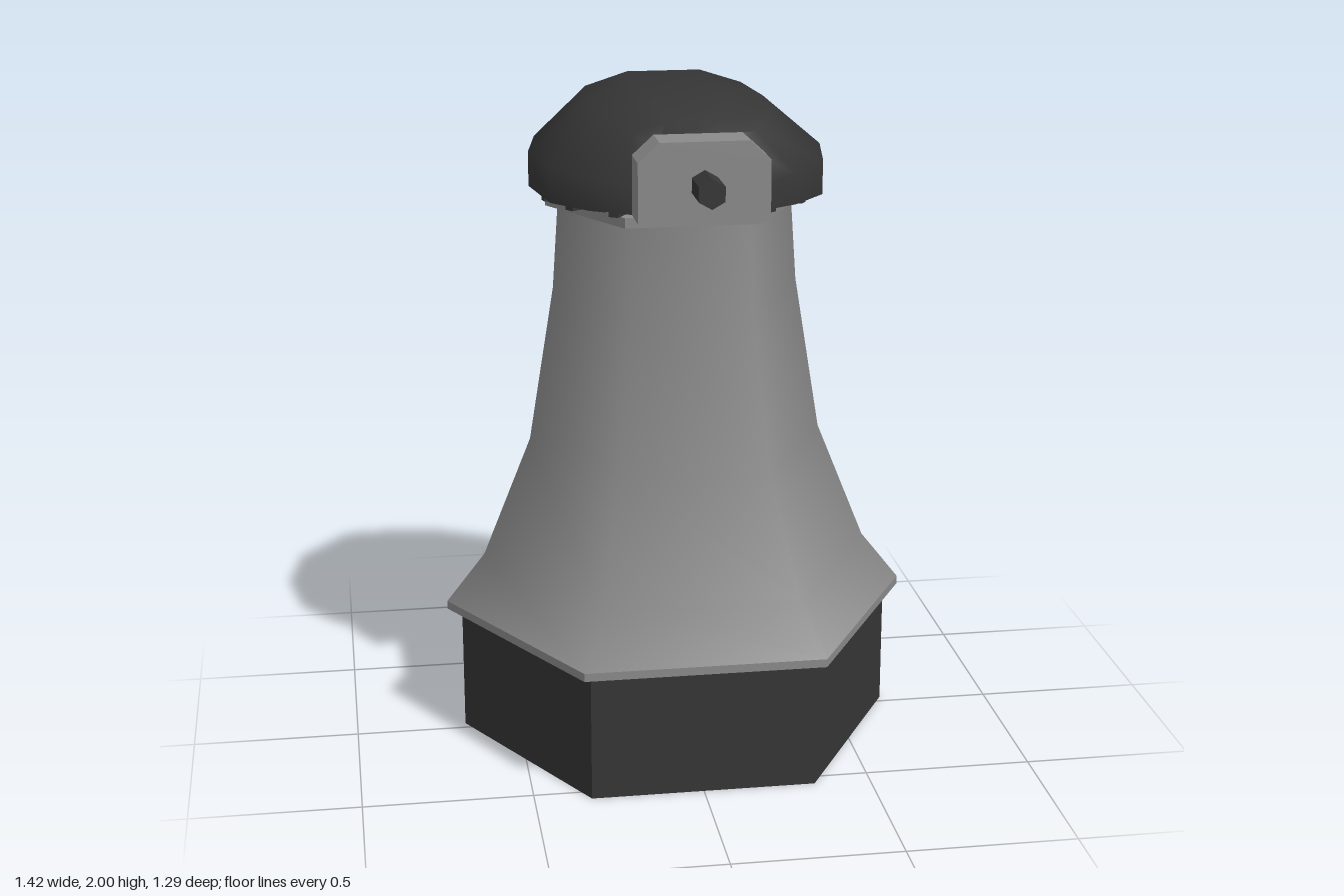
import * as THREE from 'three';
import { toCreasedNormals } from 'three/addons/utils/BufferGeometryUtils.js';

const CZ = -0.03; // tower axis

export function createModel() {
  const group = new THREE.Group();
  const mat = (name, color, extra) => Object.assign(new THREE.MeshStandardMaterial({ color, ...extra }), { name });
  const dark = mat('charcoal', 0x353535);
  const grey = mat('grey', 0x8a8a8a);

  const add = (name, geo, material, x = 0, y = 0, z = 0) => {
    const m = new THREE.Mesh(geo, material);
    m.name = name;
    m.position.set(x, y, z);
    group.add(m);
    return m;
  };
  // Faceted hexagonal prism with corners on the x axis
  const hex = (r, y0, y1) => {
    const g = new THREE.CylinderGeometry(r, r, y1 - y0, 6, 1, false, Math.PI / 2).toNonIndexed();
    g.computeVertexNormals();
    return g.translate(0, (y0 + y1) / 2, CZ);
  };

  // Base with a door panel on the rear right face
  add('base', hex(0.665, 0, 0.39), dark);
  const doorPanel = add('baseDoor', new THREE.BoxGeometry(0.173, 0.35, 0.008), dark, 0.457, 0.215, -0.42);
  doorPanel.position.x = 0.665 - (0.42 + CZ) / Math.sqrt(3) + 0.002;
  doorPanel.rotation.y = Math.PI * 2 / 3;

  // Flared six-sided tower, smoothly shaded
  const profile = [[0.71, 0.415], [0.592, 0.565], [0.445, 0.93], [0.368, 1.4], [0.35, 1.66]]
    .map(([r, y]) => new THREE.Vector2(r, y));
  add('tower', new THREE.LatheGeometry(profile, 6, Math.PI / 2), grey, 0, 0, CZ);
  add('towerSkirt', hex(0.71, 0.39, 0.415), grey);
  add('towerRim', hex(0.387, 1.65, 1.68), grey);

  // Turning ring under the cap
  add('curb', hex(0.34, 1.675, 1.715), dark);
  for (let i = 0; i < 16; i++) {
    const a = (i + 0.5) / 16 * Math.PI * 2;
    const s = add('curbSpoke', new THREE.BoxGeometry(0.12, 0.025, 0.03), dark,
      Math.cos(a) * 0.35, 1.698, -0.01 + Math.sin(a) * 0.33);
    s.rotation.y = -a;
  }

  // Cap: cross-sections along z as [z, half width, top height]
  const sections = [[-0.39, 0.31, 1.97], [-0.27, 0.395, 2], [-0.03, 0.435, 2],
    [0.21, 0.395, 2], [0.33, 0.295, 1.957], [0.4, 0.18, 1.93]];
  const outline = [[1, 0], [1, 0.35], [0.6, 0.86], [0.28, 1], [-0.28, 1], [-0.6, 0.86], [-1, 0.35], [-1, 0]];
  const n = outline.length, pos = [], idx = [];
  sections.forEach(([z, w, top], i) => {
    outline.forEach(([u, v], j) => {
      pos.push(u * w, 1.71 + v * (top - 1.71), z);
      if (i === sections.length - 1) return;
      const a = i * n + j, b = i * n + (j + 1) % n;
      idx.push(a, b, b + n, a, b + n, a + n);
    });
  });
  const last = (sections.length - 1) * n;
  for (let j = 1; j < n - 1; j++) idx.push(0, j + 1, j, last, last + j, last + j + 1);
  const cap = new THREE.BufferGeometry();
  cap.setAttribute('position', new THREE.Float32BufferAttribute(pos, 3));
  cap.setIndex(idx);
  cap.computeVertexNormals();
  add('cap', toCreasedNormals(cap, 1.0), dark);
  add('capHatch', new THREE.BoxGeometry(0.2, 0.22, 0.008), dark, 0, 1.83, -0.39);

  // Beams sticking out at the rear
  for (const s of [-1, 1]) {
    add('tailBeam', new THREE.BoxGeometry(0.07, 0.045, 0.2), dark, s * 0.18, 1.712, -0.355);
    const brace = add('tailBrace', new THREE.BoxGeometry(0.015, 0.03, 0.1), dark, s * 0.14, 1.7, -0.38);
    brace.rotation.y = s * 0.4;
  }
  add('tailPole', new THREE.BoxGeometry(0.02, 0.03, 0.2), dark, 0, 1.7, -0.345);

  // Chamfered front block and shaft
  const block = new THREE.Shape([[-0.185, 1.71], [0.185, 1.71], [0.185, 1.88], [0.125, 1.935],
    [-0.125, 1.935], [-0.185, 1.88]].map(([x, y]) => new THREE.Vector2(x, y)));
  add('frontBlock', new THREE.ExtrudeGeometry(block, { depth: 0.12, bevelEnabled: false }), grey, 0, 0, 0.4);
  const shaft = new THREE.CylinderGeometry(0.042, 0.042, 0.145, 6).toNonIndexed();
  shaft.computeVertexNormals();
  add('shaft', shaft.rotateX(Math.PI / 2), dark, 0, 1.815, 0.5725);

  return group;
}
